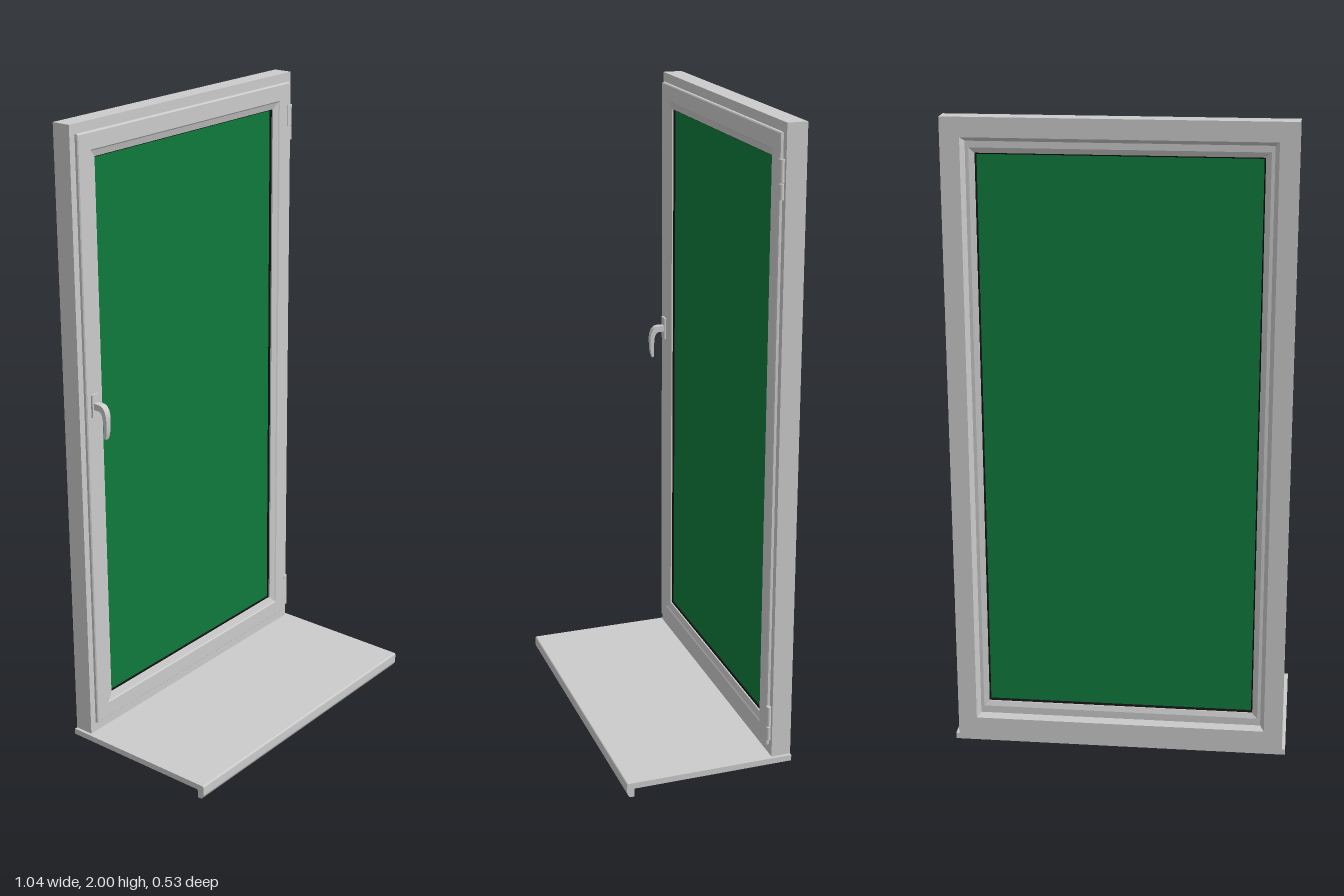
import * as THREE from 'three';

const grey = new THREE.MeshStandardMaterial({ color: 0xcccccc, side: THREE.DoubleSide });
const green = new THREE.MeshStandardMaterial({ color: 0x0f7a3c });
const black = new THREE.MeshStandardMaterial({ color: 0x111111 });

function part(name, geometry, material = grey) {
  const mesh = new THREE.Mesh(geometry, material);
  mesh.name = name;
  return mesh;
}

function box(name, w, h, d, x, y, z, material) {
  const mesh = part(name, new THREE.BoxGeometry(w, h, d), material);
  mesh.position.set(x, y, z);
  return mesh;
}

// Sweeps a closed profile of [inset, z] points round a rectangle with mitred corners
function mitredFrame(halfWidth, bottom, top, profile) {
  const corner = ([d, z], i) => [
    [-halfWidth + d, bottom + d, z], [halfWidth - d, bottom + d, z],
    [halfWidth - d, top - d, z], [-halfWidth + d, top - d, z],
  ][i % 4];
  const positions = [];
  profile.forEach((p, k) => {
    const q = profile[(k + 1) % profile.length];
    for (let i = 0; i < 4; i++) {
      const a = corner(p, i), b = corner(p, i + 1), c = corner(q, i + 1), d = corner(q, i);
      positions.push(...a, ...b, ...c, ...a, ...c, ...d);
    }
  });
  const geometry = new THREE.BufferGeometry();
  geometry.setAttribute('position', new THREE.Float32BufferAttribute(positions, 3));
  geometry.computeVertexNormals();
  return geometry;
}

// Extrudes a shape drawn in (z, y) along x, centred on x = 0
function extrudeAlongX(shape, width) {
  const geometry = new THREE.ExtrudeGeometry(shape, { depth: width, bevelEnabled: false, curveSegments: 10 });
  geometry.translate(0, 0, -width / 2);
  geometry.rotateY(-Math.PI / 2);
  return geometry;
}

function createSill() {
  // Flat board with a rounded nose and a drip edge under the front
  const s = new THREE.Shape();
  s.moveTo(-0.267, 0.027);
  s.lineTo(0.243, 0.027);
  s.lineTo(0.243, 0.003);
  s.lineTo(0.253, 0.003);
  s.quadraticCurveTo(0.266, 0.004, 0.266, 0.018);
  s.lineTo(0.266, 0.04);
  s.quadraticCurveTo(0.266, 0.046, 0.26, 0.046);
  s.lineTo(-0.267, 0.046);
  s.closePath();
  // Slightly lowered nose reaches the ground
  const geometry = extrudeAlongX(s, 1.044);
  const p = geometry.attributes.position;
  for (let i = 0; i < p.count; i++) if (p.getY(i) < 0.005) p.setY(i, p.getY(i) - 0.003);
  return part('sill', geometry);
}

function createHandle() {
  const handle = new THREE.Group();
  handle.name = 'handle';
  handle.add(box('handlePlate', 0.03, 0.072, 0.007, 0, 1.155, -0.19));

  const neck = part('handleNeck', new THREE.CylinderGeometry(0.009, 0.011, 0.02, 16));
  neck.rotation.x = Math.PI / 2;
  neck.position.set(0, 1.15, -0.179);
  handle.add(neck);

  // Hooked lever, narrowing toward its lower tip
  const s = new THREE.Shape();
  s.moveTo(-0.187, 1.164);
  s.lineTo(-0.166, 1.164);
  s.bezierCurveTo(-0.146, 1.163, -0.138, 1.14, -0.139, 1.115);
  s.bezierCurveTo(-0.139, 1.09, -0.14, 1.07, -0.147, 1.056);
  s.lineTo(-0.153, 1.06);
  s.bezierCurveTo(-0.151, 1.08, -0.152, 1.1, -0.153, 1.115);
  s.bezierCurveTo(-0.154, 1.135, -0.16, 1.144, -0.17, 1.144);
  s.lineTo(-0.187, 1.144);
  s.closePath();
  const lever = extrudeAlongX(s, 0.021);
  const p = lever.attributes.position;
  for (let i = 0; i < p.count; i++) {
    const t = THREE.MathUtils.clamp((p.getY(i) - 1.056) / 0.09, 0, 1);
    p.setX(i, p.getX(i) * (0.7 + 0.3 * t));
  }
  lever.computeVertexNormals();
  handle.add(part('handleLever', lever));
  handle.position.x = -0.459;
  return handle;
}

function createHinge(y) {
  const hinge = new THREE.Group();
  hinge.name = 'hinge';
  // Two barrels with a small gap and a leaf on the sash
  for (const [dy, h] of [[0.022, 0.066], [-0.036, 0.044]]) {
    const barrel = part('hingeBarrel', new THREE.CylinderGeometry(0.007, 0.007, h, 14));
    barrel.position.set(0.499, y + dy, -0.198);
    hinge.add(barrel);
  }
  hinge.add(box('hingeLeaf', 0.014, 0.112, 0.006, 0.489, y, -0.195));
  return hinge;
}

export function createModel() {
  const model = new THREE.Group();
  model.name = 'window';

  // Fixed outer frame with a stepped, sloping rebate at the back
  model.add(part('outerFrame', mitredFrame(0.512, 0.046, 2, [
    [0, -0.205], [0.045, -0.205], [0.045, -0.238], [0.07, -0.238],
    [0.07, -0.25], [0.058, -0.267], [0, -0.267],
  ])));

  // Opening sash with a sloped glazing bead
  model.add(part('sash', mitredFrame(0.492, 0.079, 1.971, [
    [0, -0.204], [0, -0.196], [0.003, -0.193], [0.052, -0.193], [0.056, -0.196],
    [0.076, -0.202], [0.076, -0.244], [0.06, -0.25], [0.035, -0.25], [0.035, -0.204],
  ])));

  // Rubber seal on both faces of the glass
  model.add(part('seal', mitredFrame(0.417, 0.154, 1.896, [
    [0, -0.206], [0.005, -0.209], [0.005, -0.238], [0, -0.241],
  ]), black));

  model.add(box('glass', 0.826, 1.736, 0.02, 0, 1.025, -0.222, green));
  model.add(createSill(), createHandle());
  for (const y of [0.158, 1.843]) model.add(createHinge(y));
  return model;
}
